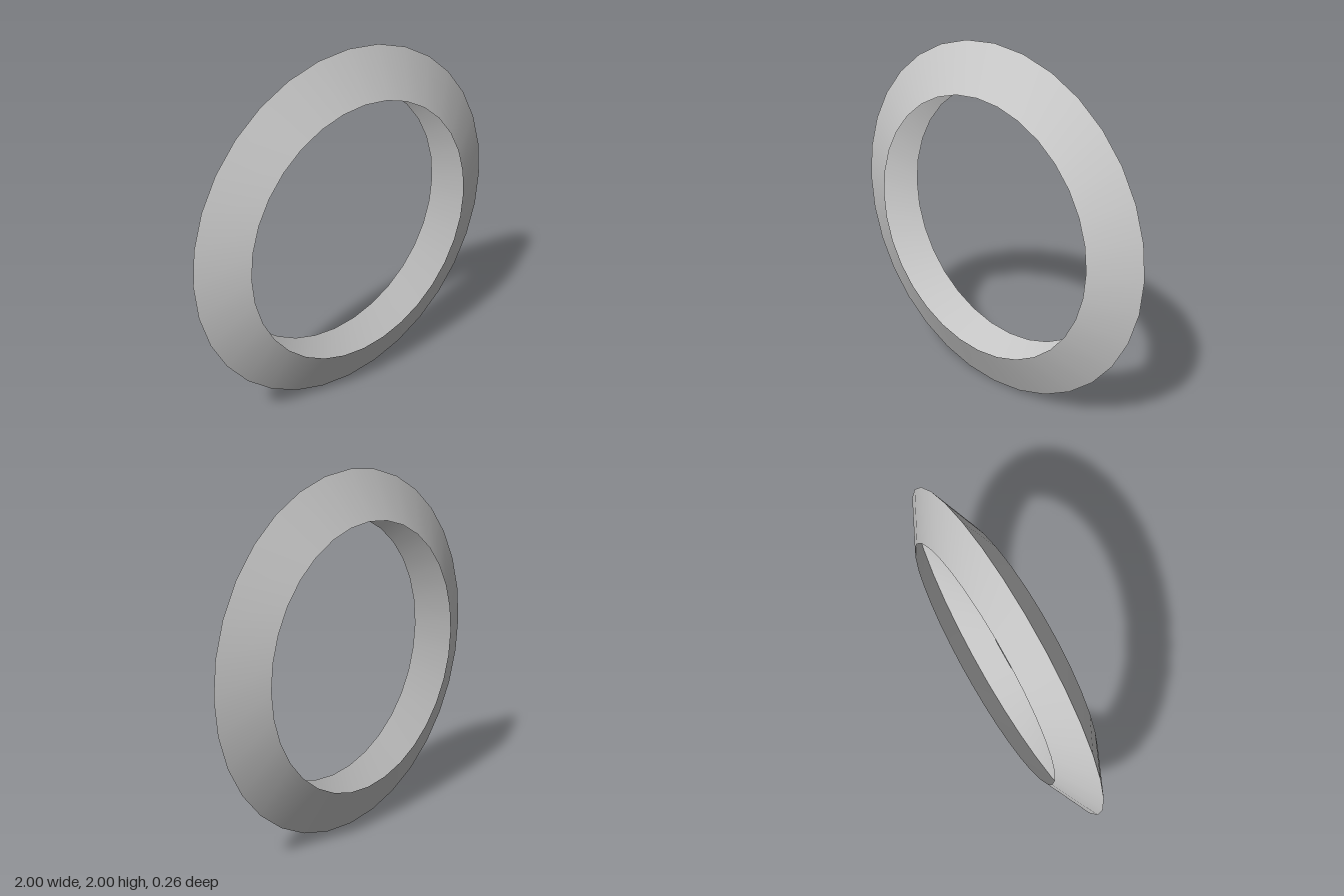
import * as THREE from 'three';
import { toCreasedNormals } from 'three/addons/utils/BufferGeometryUtils.js';

const OUTER = 1, INNER = 0.74, HALF_WIDTH = 0.13, SEGMENTS = 32;

export function createModel() {
  const group = new THREE.Group();
  group.name = 'ring';

  // V-shaped section: two bevels meeting at a sharp outer rim, open on the inside
  const section = [
    [INNER, -HALF_WIDTH], [OUTER, 0], [INNER, HALF_WIDTH],
  ].map(([r, h]) => new THREE.Vector2(r, h));

  // Smooth around the ring, creased along the rim
  const geometry = toCreasedNormals(new THREE.LatheGeometry(section, SEGMENTS), 0.5);
  geometry.rotateX(Math.PI / 2);
  geometry.translate(0, OUTER, 0);

  const material = new THREE.MeshStandardMaterial({ color: 0xcccccc, side: THREE.DoubleSide });
  const ring = new THREE.Mesh(geometry, material);
  ring.name = 'bevelledRing';
  group.add(ring);
  return group;
}
